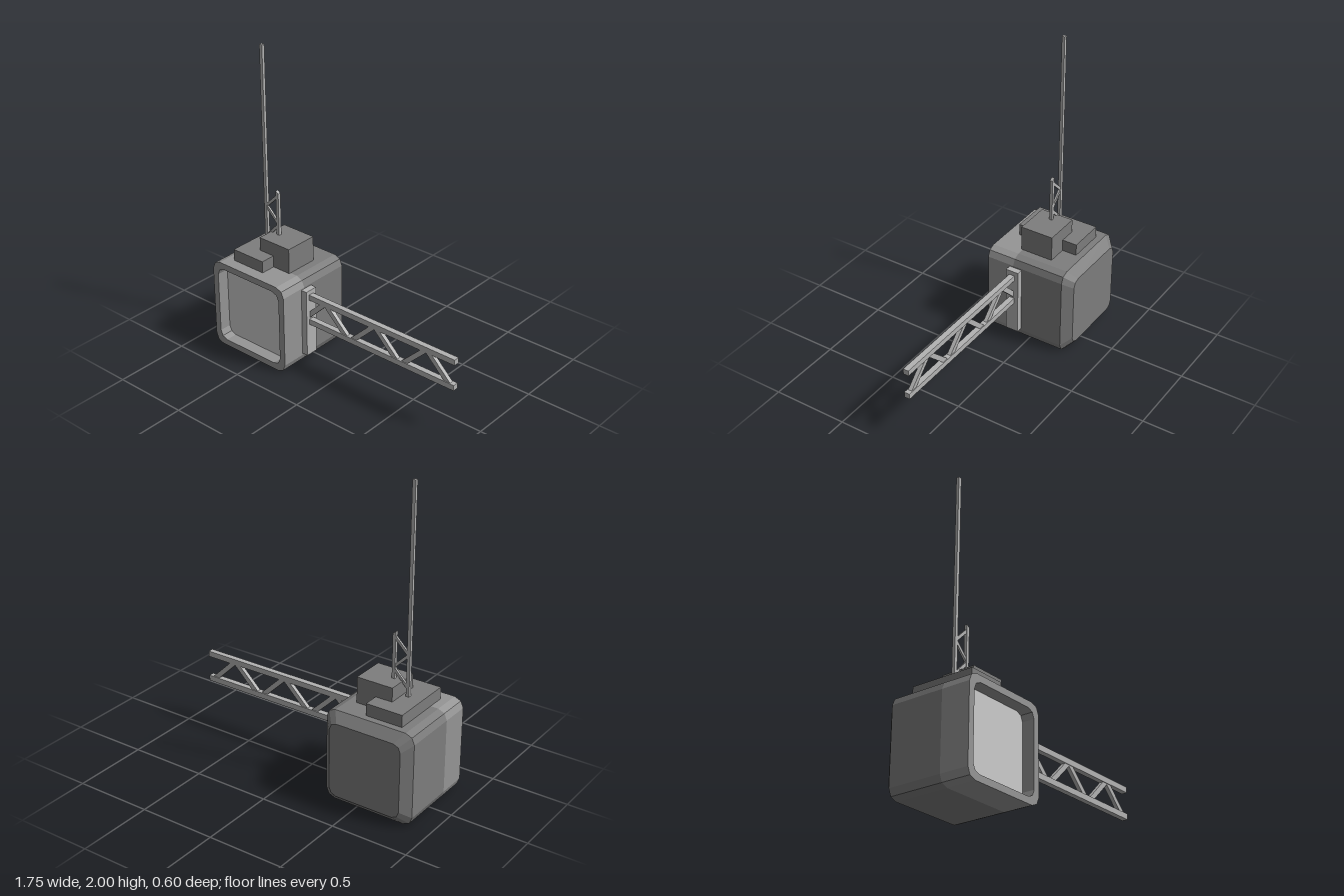
import * as THREE from 'three';

const paint = color => new THREE.MeshStandardMaterial({ color, flatShading: true });
const light = paint(0xcccccc); // front panel
const steel = paint(0xb3b3b3); // boom and mast
const medium = paint(0x959595); // front of the cabin
const dark = paint(0x7d7d7d); // rear of the cabin, roof boxes

function add(parent, name, geometry, material) {
  const mesh = new THREE.Mesh(geometry, material);
  mesh.name = name;
  parent.add(mesh);
  return mesh;
}

// Box given by its minimum and maximum corners
function block(parent, name, material, [x0, y0, z0], [x1, y1, z1]) {
  const mesh = add(parent, name, new THREE.BoxGeometry(x1 - x0, y1 - y0, z1 - z0), material);
  mesh.position.set((x0 + x1) / 2, (y0 + y1) / 2, (z0 + z1) / 2);
}

// Straight steel bar between two points in a plane of constant z
function bar(parent, name, [x0, y0], [x1, y1], z, width, depth) {
  const mesh = add(parent, name, new THREE.BoxGeometry(Math.hypot(x1 - x0, y1 - y0), width, depth), steel);
  mesh.position.set((x0 + x1) / 2, (y0 + y1) / 2, z);
  mesh.rotation.z = Math.atan2(y1 - y0, x1 - x0);
}

// Square outline with two-facet corners, counter-clockwise
function outline(half) {
  const r = half * 0.2, c = half - r, points = [];
  for (let corner = 0; corner < 4; corner++) {
    const mid = Math.PI / 4 + corner * Math.PI / 2;
    const cx = Math.sign(Math.cos(mid)) * c, cy = Math.sign(Math.sin(mid)) * c;
    for (let k = -1; k <= 1; k++) {
      const a = mid + k * Math.PI / 4;
      points.push(new THREE.Vector2(cx + r * Math.cos(a), cy + r * Math.sin(a)));
    }
  }
  return points;
}

// Skin through a series of [half size, z] outlines
function loft(sections) {
  const rings = sections.map(([half, z]) => outline(half).map(p => [p.x, p.y, z]));
  const positions = [];
  for (let i = 0; i < rings.length - 1; i++) {
    const n = rings[i].length;
    for (let j = 0; j < n; j++) {
      const k = (j + 1) % n;
      const a = rings[i][j], b = rings[i][k], c = rings[i + 1][j], d = rings[i + 1][k];
      positions.push(...c, ...d, ...b, ...c, ...b, ...a);
    }
  }
  const geometry = new THREE.BufferGeometry();
  geometry.setAttribute('position', new THREE.Float32BufferAttribute(positions, 3));
  geometry.computeVertexNormals();
  return geometry;
}

export function createModel() {
  const model = new THREE.Group();
  model.name = 'cabinWithBoom';

  // Cabin: lighter front frame around a recessed panel, darker chamfered rear
  const cabin = new THREE.Group();
  cabin.name = 'cabin';
  cabin.position.set(-0.578, 0.3, 0);
  model.add(cabin);
  const opening = 0.258, back = 0.243, recess = 0.22, split = 0.112;
  add(cabin, 'frontFrame', loft([[opening, recess], [opening, 0.3], [0.3, 0.3], [0.3, split]]), medium);
  add(cabin, 'rearShell', loft([[0.3, split], [0.3, -0.243], [back, -0.3]]), dark);
  const panel = half => new THREE.ShapeGeometry(new THREE.Shape(outline(half)));
  add(cabin, 'frontPanel', panel(opening), light).position.z = recess;
  const rear = add(cabin, 'backPanel', panel(back), dark);
  rear.position.z = -0.3;
  rear.rotation.y = Math.PI;

  // Roof boxes
  block(model, 'lowRoofBox', dark, [-0.766, 0.59, -0.2], [-0.521, 0.678, 0.223]);
  block(model, 'highRoofBox', dark, [-0.634, 0.59, -0.1], [-0.39, 0.768, 0.124]);

  // Side boom: bracket, two chords and zigzag bracing
  const boom = new THREE.Group();
  boom.name = 'boom';
  model.add(boom);
  const boomZ = 0.095, half = 0.0185;
  block(boom, 'bracket', steel, [-0.285, 0.072, 0.05], [-0.237, 0.53, 0.138]);
  block(boom, 'upperChord', steel, [-0.24, 0.464, boomZ - half], [0.875, 0.501, boomZ + half]);
  block(boom, 'lowerChord', steel, [-0.24, 0.29, boomZ - half], [0.875, 0.327, boomZ + half]);
  bar(boom, 'brace', [-0.25, 0.347], [-0.115, 0.48], boomZ, 0.032, 0.026);
  for (let i = 0; i < 3; i++) {
    const x = -0.115 + i * 0.39;
    bar(boom, 'brace', [x, 0.48], [x + 0.17, 0.314], boomZ, 0.032, 0.026);
    if (i < 2) bar(boom, 'brace', [x + 0.22, 0.314], [x + 0.39, 0.48], boomZ, 0.032, 0.026);
  }

  // Mast with a short braced post beside it
  const mast = new THREE.Group();
  mast.name = 'mast';
  model.add(mast);
  const mastZ = 0.016;
  block(mast, 'tallMast', steel, [-0.681, 0.67, mastZ - 0.01], [-0.659, 2, mastZ + 0.01]);
  const post = new THREE.Shape([[-0.581, 0.76], [-0.56, 0.76], [-0.56, 1.055], [-0.581, 1.07]].map(p => new THREE.Vector2(...p)));
  add(mast, 'shortPost', new THREE.ExtrudeGeometry(post, { depth: 0.02, bevelEnabled: false }), steel).position.z = mastZ - 0.01;
  for (const [y0, y1] of [[0.94, 1.035], [0.94, 0.845], [0.73, 0.83]]) {
    bar(mast, 'mastBrace', [-0.668, y0], [-0.572, y1], mastZ, 0.018, 0.013);
  }

  return model;
}
